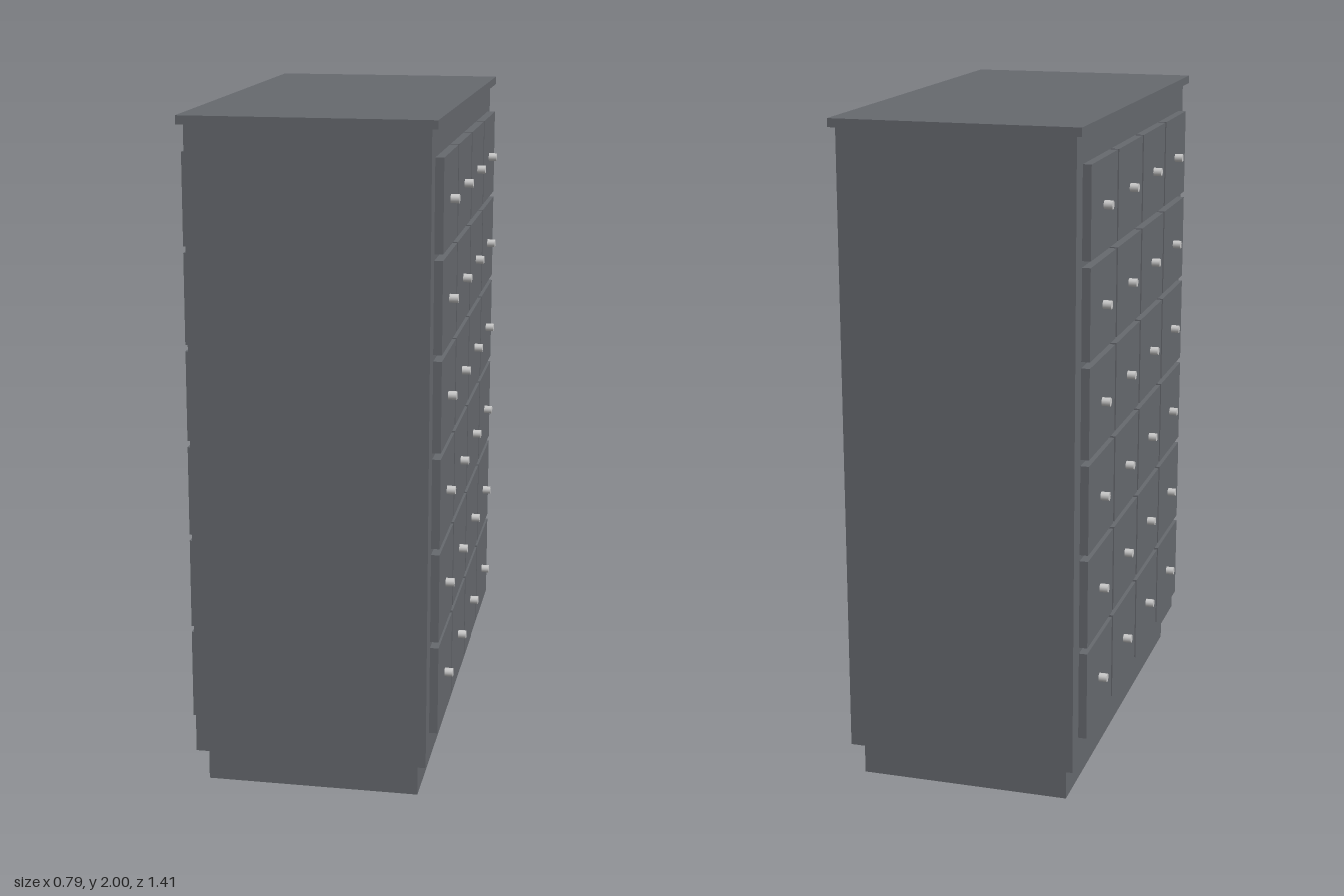
import * as THREE from 'three';

export function createModel() {
  const group = new THREE.Group();
  const paint = new THREE.MeshStandardMaterial({ color: 0x66696e });
  paint.name = 'slate grey paint';
  const metal = new THREE.MeshStandardMaterial({ color: 0xc8c8c8 });
  metal.name = 'pale metal';

  const add = (name, geometry, material, x, y, z) => {
    const mesh = new THREE.Mesh(geometry, material);
    mesh.name = name;
    mesh.position.set(x, y, z);
    group.add(mesh);
  };
  // Box standing between two heights
  const slab = (name, width, depth, y0, y1) =>
    add(name, new THREE.BoxGeometry(width, y1 - y0, depth), paint, 0, (y0 + y1) / 2, 0);

  // Carcass
  slab('plinth', 0.636, 1.31, 0, 0.105);
  slab('cabinetBody', 0.694, 1.384, 0.105, 1.975);
  slab('topBoard', 0.73, 1.412, 1.975, 2);

  // Drawer fronts and knobs: six rows of four on both long sides
  const drawer = new THREE.BoxGeometry(0.026, 0.268, 0.302);
  const knob = new THREE.CylinderGeometry(0.013, 0.013, 0.026, 12).rotateZ(Math.PI / 2);
  for (const side of [-1, 1]) {
    for (let row = 0; row < 6; row++) {
      for (let col = 0; col < 4; col++) {
        const y = 0.323 + row * 0.2867;
        const z = (col - 1.5) * 0.3175;
        add('drawerFront', drawer, paint, side * 0.359, y, z);
        add('drawerKnob', knob, metal, side * 0.384, y, z);
      }
    }
  }
  return group;
}
